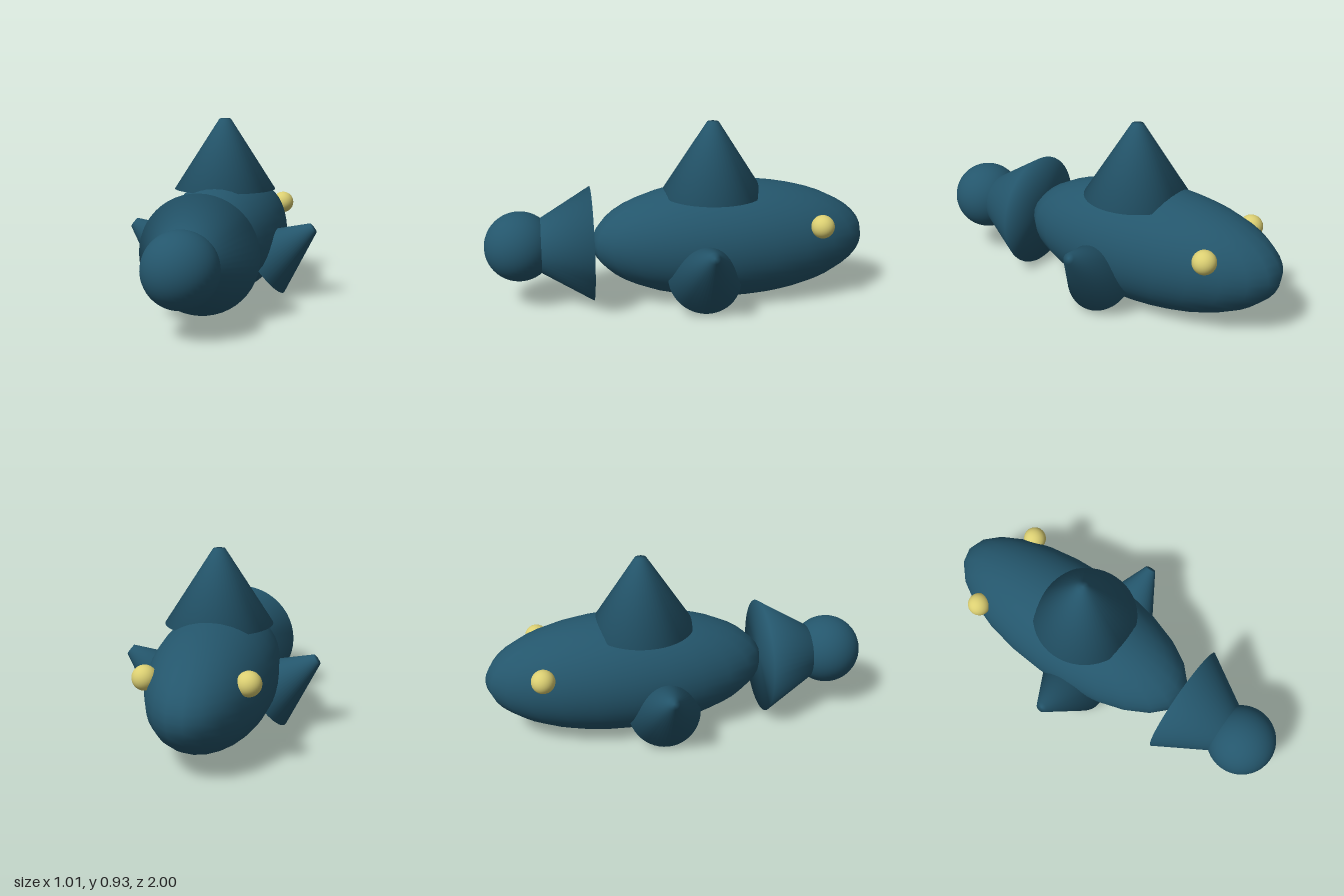
import * as THREE from 'three';
import { mergeVertices } from 'three/addons/utils/BufferGeometryUtils.js';

const hide = new THREE.MeshStandardMaterial({ color: 0x24566c });
hide.name = 'deepTeal';
const eyeYellow = new THREE.MeshStandardMaterial({ color: 0xdbcf72 });
eyeYellow.name = 'paleYellow';

function add(parent, name, geometry, material, x, y, z) {
  const mesh = new THREE.Mesh(geometry, material);
  mesh.name = name;
  mesh.position.set(x, y, z);
  parent.add(mesh);
  return mesh;
}

// Capped truncated cone with normals smoothed across its rims
function softCone(rTop, rBottom, height) {
  const g = new THREE.CylinderGeometry(rTop, rBottom, height, 48);
  g.deleteAttribute('normal');
  g.deleteAttribute('uv');
  const merged = mergeVertices(g, 1e-4);
  merged.computeVertexNormals();
  return merged;
}

export function createModel() {
  const model = new THREE.Group();
  model.name = 'fish';
  const midY = 0.317;

  // Long egg-shaped body, nose towards -z
  const body = add(model, 'body', new THREE.SphereGeometry(1, 24, 24), hide, 0, midY, -0.275);
  body.scale.set(0.311, 0.311, 0.725);

  // Fin on the back
  add(model, 'backFin', softCone(0.03, 0.27, 0.375), hide, 0, 0.753, -0.185);

  // Flared tail with a ball on its end
  const tail = add(model, 'tailFlare', softCone(0.143, 0.298, 0.26), hide, 0, midY, 0.58);
  tail.rotation.x = Math.PI / 2;
  add(model, 'tailBall', new THREE.SphereGeometry(0.18, 40, 28), hide, 0, midY + 0.002, 0.82);

  // Side fins and eyes, mirrored
  const finGeometry = softCone(0.029, 0.19, 0.33);
  const eyeGeometry = new THREE.SphereGeometry(0.06, 32, 24);
  for (const [side, s] of [['left', 1], ['right', -1]]) {
    const fin = add(model, side + 'Fin', finGeometry, hide, s * 0.355, 0.278, -0.11);
    fin.rotation.z = -s * Math.atan2(0.8, 0.6);
    add(model, side + 'Eye', eyeGeometry, eyeYellow, s * 0.242, 0.428, -0.716);
  }
  return model;
}
